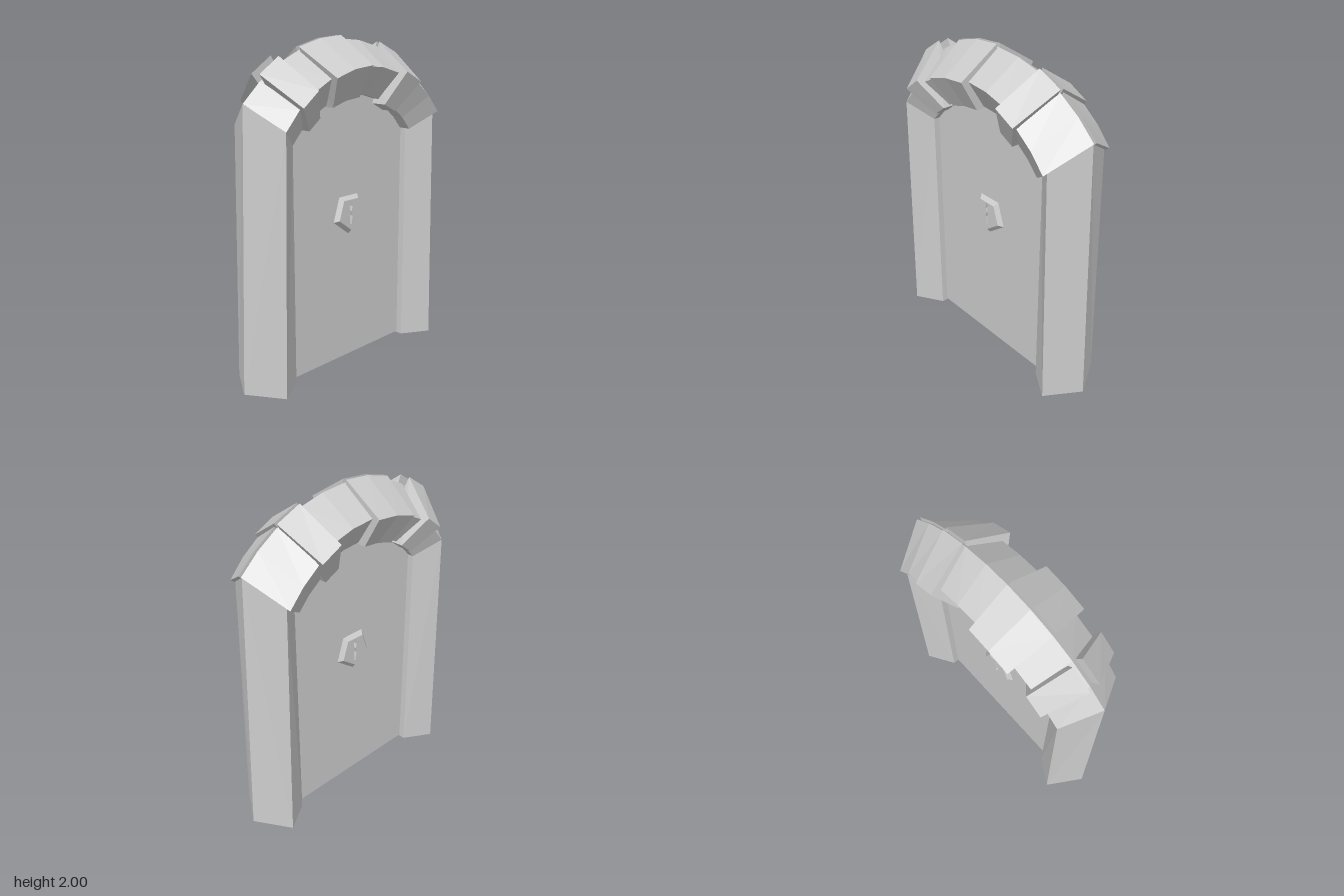
import * as THREE from 'three';

const material = new THREE.MeshStandardMaterial({ color: 0xcccccc, flatShading: true });
const holeMaterial = new THREE.MeshStandardMaterial({ color: 0xcccccc, flatShading: true, side: THREE.DoubleSide });

// Three concentric-ish arcs of the arch: centre height, radius, half angle
const ARCS = {
  outer: [0.976, 1.004, 0.821],
  mid: [1.046, 0.784, 0.923],
  inner: [1.05, 0.61, 0.919],
};

// Point on an arc; t runs from -1 (left end in x) to 1
function arcPoint(name, t, offset, z) {
  const [cy, r, max] = ARCS[name];
  const a = t * max;
  return [(r + offset) * Math.sin(a), cy + (r + offset) * Math.cos(a), z];
}

// Solid from convex cross-sections with the same point count, capped at both ends
function loft(rings) {
  const tris = [];
  const n = rings[0].length;
  for (let i = 0; i < rings.length - 1; i++) {
    for (let j = 0; j < n; j++) {
      const k = (j + 1) % n;
      const [a, b, c, d] = [rings[i][j], rings[i][k], rings[i + 1][k], rings[i + 1][j]];
      tris.push([a, b, c], [a, c, d]);
    }
  }
  const last = rings[rings.length - 1];
  for (let j = 1; j < n - 1; j++) {
    tris.push([rings[0][0], rings[0][j + 1], rings[0][j]], [last[0], last[j], last[j + 1]]);
  }
  // Turn the faces outward, whichever way the sections run
  let volume = 0;
  const v = tris.map((t) => t.map((p) => new THREE.Vector3(...p)));
  v.forEach(([a, b, c]) => { volume += a.dot(b.clone().cross(c)); });
  if (volume < 0) v.forEach((t) => t.reverse());
  const g = new THREE.BufferGeometry().setFromPoints(v.flat());
  g.computeVertexNormals();
  return g;
}

function add(parent, name, geometry, mat = material) {
  const mesh = new THREE.Mesh(geometry, mat);
  mesh.name = name;
  parent.add(mesh);
  return mesh;
}

function keyholePoints() {
  const half = [[0.006, 1.02], [0.013, 0.985], [0.005, 0.955], [0.013, 0.925], [0.005, 0.875]];
  const other = half.map(([x, y]) => [-x, y]).reverse();
  return [...half, ...other].map(([x, y]) => new THREE.Vector2(x, y));
}

export function createModel() {
  const group = new THREE.Group();
  const Z = 0.215, ZI = 0.11;

  // Posts, tapering up to the slanted seat of the arch
  for (const s of [-1, 1]) {
    const section = (o, m, i) => [
      [s * o[0], o[1], 0], [s * m[0], m[1], Z], [s * i[0], i[1], ZI],
      [s * i[0], i[1], -ZI], [s * m[0], m[1], -Z],
    ];
    add(group, s > 0 ? 'leftPost' : 'rightPost', loft([
      section([0.79, 0], [0.655, 0], [0.485, 0]),
      section([0.735, 1.66], [0.625, 1.52], [0.485, 1.42]),
    ]));
  }

  // Plain arch resting on the posts
  const archRings = [];
  for (let i = -5; i <= 5; i++) {
    const t = i / 5;
    archRings.push([
      arcPoint('outer', t, 0, 0), arcPoint('mid', t, 0, Z), arcPoint('inner', t, 0, ZI),
      arcPoint('inner', t, 0, -ZI), arcPoint('mid', t, 0, -Z),
    ]);
  }
  add(group, 'arch', loft(archRings));

  // Raised stones, each in a front and back half with a groove along the ridge
  const stones = [
    { name: 'topStone', from: -0.41, to: -0.003, steps: 2, out: 0.02, inn: -0.01, z: 0.265, gap: 0.012 },
    { name: 'rightStone', from: -0.8, to: -0.61, steps: 1, out: 0.05, inn: -0.01, z: 0.262, gap: 0.033 },
    { name: 'leftUpperStone', from: 0.405, to: 0.61, steps: 1, out: 0.03, inn: -0.03, z: 0.275, gap: 0.01 },
    { name: 'leftLowerStone', from: 0.62, to: 1.005, steps: 2, out: 0.014, inn: -0.008, z: 0.25, gap: 0.01 },
  ];
  for (const { name, from, to, steps, out, inn, z, gap } of stones) {
    const stone = new THREE.Group();
    stone.name = name;
    for (const s of [1, -1]) {
      const rings = [];
      for (let i = 0; i <= steps; i++) {
        const t = from + (to - from) * i / steps;
        rings.push([
          arcPoint('outer', t, out, s * gap), arcPoint('mid', t, out * 0.4, s * z),
          arcPoint('inner', t, inn, s * (ZI + z - Z)), arcPoint('inner', t, inn, 0),
        ]);
      }
      add(stone, s > 0 ? 'frontHalf' : 'backHalf', loft(rings));
    }
    group.add(stone);
  }

  // Door panel with a keyhole through it
  const DOOR = 0.07, PLATE = 0.025;
  const outline = [new THREE.Vector2(-0.52, 0.008), new THREE.Vector2(0.52, 0.008)];
  for (let i = 8; i >= -8; i--) {
    const [x, y] = arcPoint('inner', i / 8, 0.045, 0);
    outline.push(new THREE.Vector2(x, y));
  }
  const door = new THREE.Shape(outline);
  door.holes.push(new THREE.Path(keyholePoints()));
  const doorGeometry = new THREE.ExtrudeGeometry(door, { depth: DOOR * 2, bevelEnabled: false });
  add(group, 'doorPanel', doorGeometry.translate(0, 0, -DOOR));

  // Five-sided lock plates on both faces
  const R = 0.133, RT = 0.105, CY = 0.943;
  const face = new THREE.Shape(Array.from({ length: 5 }, (_, i) => {
    const a = -Math.PI / 2 + i * Math.PI * 2 / 5;
    return new THREE.Vector2(RT * Math.cos(a), CY + RT * Math.sin(a));
  }));
  face.holes.push(new THREE.Path(keyholePoints()));
  for (const s of [1, -1]) {
    const plate = new THREE.Group();
    plate.name = s > 0 ? 'frontLockPlate' : 'backLockPlate';
    const rim = new THREE.CylinderGeometry(RT, R, PLATE, 5, 1, true);
    rim.rotateX(Math.PI / 2).translate(0, CY, DOOR + PLATE / 2);
    add(plate, 'plateRim', rim);
    add(plate, 'plateFace', new THREE.ShapeGeometry(face).translate(0, 0, DOOR + PLATE));
    if (s < 0) plate.rotation.y = Math.PI;
    group.add(plate);
  }

  // Inner wall of the keyhole
  const tunnel = new THREE.BufferGeometry();
  const key = keyholePoints(), wall = [], D = DOOR + PLATE;
  key.forEach((p, i) => {
    const q = key[(i + 1) % key.length];
    wall.push(p.x, p.y, -D, q.x, q.y, -D, q.x, q.y, D, p.x, p.y, -D, q.x, q.y, D, p.x, p.y, D);
  });
  tunnel.setAttribute('position', new THREE.Float32BufferAttribute(wall, 3));
  tunnel.computeVertexNormals();
  add(group, 'keyholeWall', tunnel, holeMaterial);

  return group;
}
